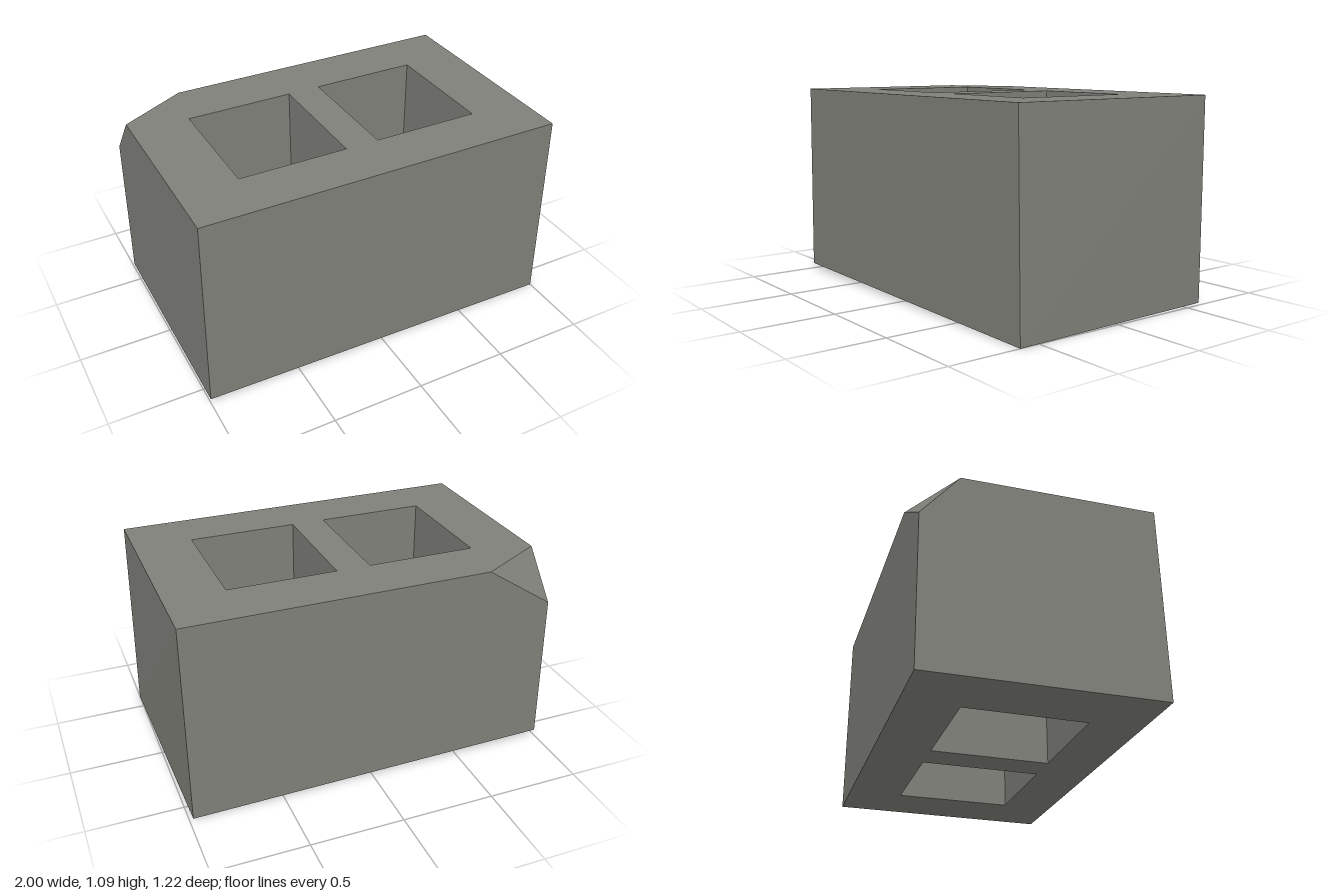
import * as THREE from 'three';
import { mergeGeometries } from 'three/addons/utils/BufferGeometryUtils.js';

const TOP = 1.09;
const D = 0.61;
// The underside is slightly tilted
const bottomY = (x, z) => 0.0174 - 0.015 * x - 0.004 * z;
const V = (x, y, z) => new THREE.Vector3(x, y, z);
const atTop = ([x, z]) => V(x, TOP, z);
const atBottom = ([x, z]) => V(x, bottomY(x, z), z);

// Convex polygon, corners counter-clockwise seen from outside
function face(points) {
  const tris = [];
  for (let i = 1; i < points.length - 1; i++) tris.push(points[0], points[i], points[i + 1]);
  const g = new THREE.BufferGeometry().setFromPoints(tris);
  g.computeVertexNormals();
  return g;
}

// Horizontal slab face with holes; outline and holes are [x, z] lists
function pierced(outline, holes, place, up) {
  const to2 = ([x, z]) => new THREE.Vector2(x, -z);
  const shape = new THREE.Shape(outline.map(to2));
  holes.forEach(h => shape.holes.push(new THREE.Path(h.map(to2))));
  const src = new THREE.ShapeGeometry(shape);
  const p = src.attributes.position;
  const idx = Array.from(src.index.array);
  if (!up) idx.reverse();
  const g = new THREE.BufferGeometry().setFromPoints(idx.map(i => place([p.getX(i), -p.getY(i)])));
  g.computeVertexNormals();
  return g;
}

export function createModel() {
  const group = new THREE.Group();
  group.name = 'concreteBlock';
  const concrete = new THREE.MeshStandardMaterial({ color: 0x80807a });
  concrete.name = 'concrete';
  const add = (name, parts) => {
    const mesh = new THREE.Mesh(mergeGeometries(parts), concrete);
    mesh.name = name;
    group.add(mesh);
  };

  // Outlines run counter-clockwise from above; the top one lacks the chipped corner
  const topRim = [[-0.98, D], [0.98, D], [0.98, -D], [-0.62, -D], [-0.98, -0.41]];
  const bottomRim = [[-1, D], [1, D], [0.98, -D], [-1, -D]];
  const holes = [
    [[-0.665, 0.33], [-0.085, 0.33], [-0.09, -0.315], [-0.67, -0.315]],
    [[0.095, 0.33], [0.67, 0.33], [0.665, -0.315], [0.09, -0.315]],
  ];

  const [tFL, tFR, tBR, chipBack, chipSide] = topRim.map(atTop);
  const [bFL, bFR, bBR, bBL] = bottomRim.map(atBottom);
  const chipLow = V(-0.985, 0.85, -D);

  add('topFace', [pierced(topRim, holes, atTop, true)]);
  add('bottomFace', [pierced(bottomRim, holes, atBottom, false)]);
  add('outerWalls', [
    face([bFL, bFR, tFR, tFL]),
    face([bFR, bBR, tBR, tFR]),
    face([bBR, bBL, chipLow, chipBack, tBR]),
    face([bBL, bFL, tFL, chipSide, chipLow]),
  ]);
  add('chippedCorner', [face([chipLow, chipSide, chipBack])]);

  // Inward-facing walls of the two through holes
  holes.forEach((hole, k) => {
    add(k ? 'leftHole' : 'rightHole', hole.map((a, i) => {
      const b = hole[(i + 1) % hole.length];
      return face([atBottom(b), atBottom(a), atTop(a), atTop(b)]);
    }));
  });
  return group;
}
